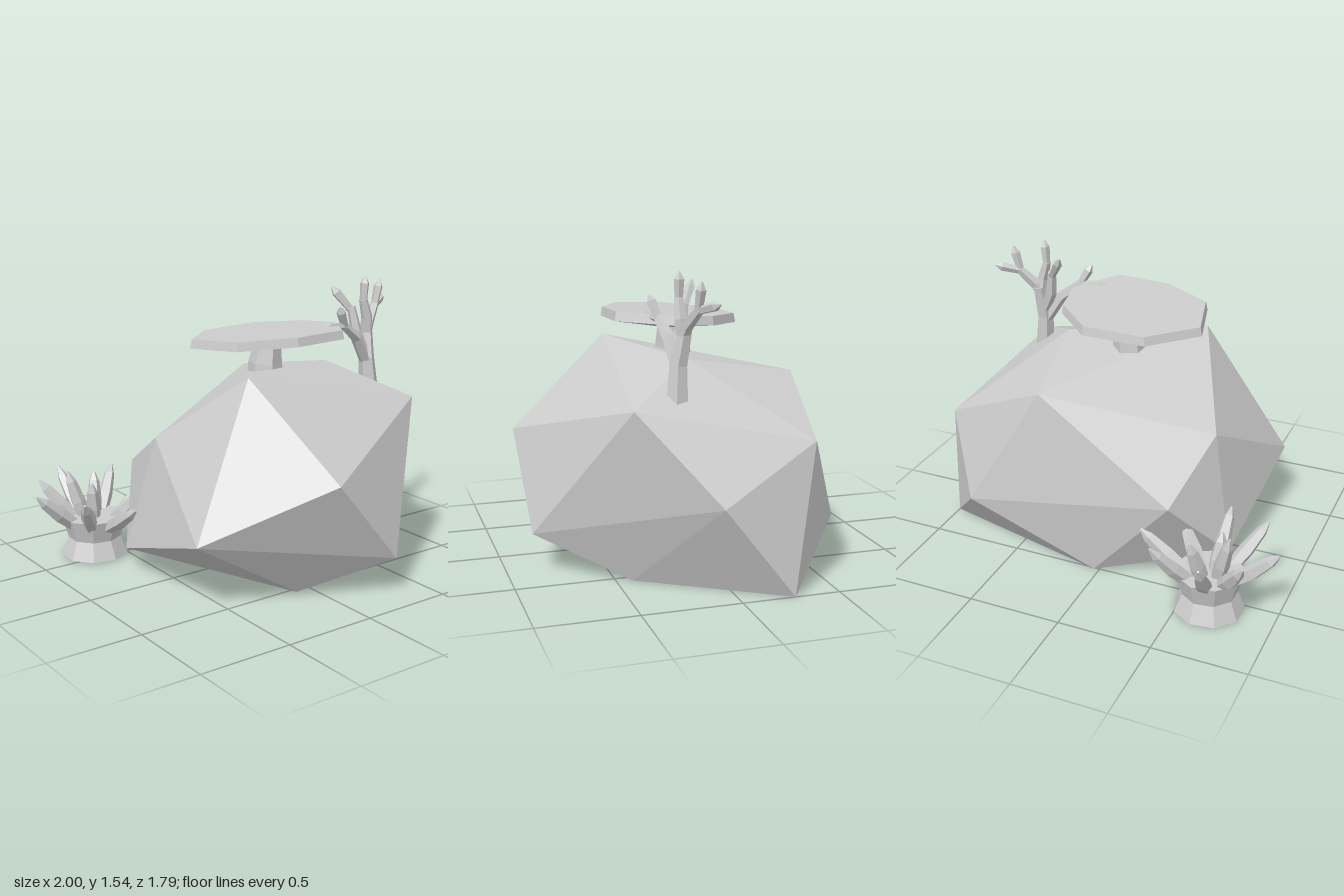
import * as THREE from 'three';
import { ConvexGeometry } from 'three/addons/geometries/ConvexGeometry.js';

const stone = new THREE.MeshStandardMaterial({ color: 0xcccccc });
stone.name = 'pale grey';
stone.flatShading = true;

const V = (p) => new THREE.Vector3(...p);

// Joins rings of points (counter-clockwise around the path) and caps both ends
function loft(rings) {
  const pos = [];
  const tri = (...ps) => ps.forEach((p) => pos.push(p.x, p.y, p.z));
  const middle = (r) => r.reduce((s, p) => s.add(p), V([0, 0, 0])).divideScalar(r.length);
  const n = rings[0].length;
  const first = rings[0], last = rings[rings.length - 1];
  const c0 = middle(first), c1 = middle(last);
  for (let i = 0; i < n; i++) {
    const j = (i + 1) % n;
    for (let k = 0; k + 1 < rings.length; k++) {
      const a = rings[k], b = rings[k + 1];
      tri(a[i], a[j], b[j]);
      tri(a[i], b[j], b[i]);
    }
    tri(c0, first[j], first[i]);
    tri(c1, last[i], last[j]);
  }
  const g = new THREE.BufferGeometry();
  g.setAttribute('position', new THREE.Float32BufferAttribute(pos, 3));
  g.computeVertexNormals();
  return g;
}

// Faceted limb through a few points, with one radius for each
function limb(points, radii, sides = 5) {
  const p = points.map(V);
  const rings = p.map((c, k) => {
    const t = p[Math.min(k + 1, p.length - 1)].clone().sub(p[Math.max(k - 1, 0)]).normalize();
    const u = V([0.31, 0.05, 0.95]).cross(t).normalize();
    const v = t.clone().cross(u);
    return Array.from({ length: sides }, (_, i) => {
      const a = (i / sides) * Math.PI * 2;
      return c.clone().addScaledVector(u, Math.cos(a) * radii[k]).addScaledVector(v, Math.sin(a) * radii[k]);
    });
  });
  return loft(rings);
}

function add(parent, name, geometry) {
  const mesh = new THREE.Mesh(geometry, stone);
  mesh.name = name;
  parent.add(mesh);
  return mesh;
}

function subgroup(parent, name) {
  const g = new THREE.Group();
  g.name = name;
  parent.add(g);
  return g;
}

export function createModel() {
  const model = new THREE.Group();
  model.name = 'coralBoulder';

  // Boulder: hull of a few corners
  add(model, 'boulder', new ConvexGeometry([
    [-0.27, 1.13, 0.36], [0.44, 1.09, 0.1], [0.76, 0.91, 0.46], [0.89, 0.74, -0.41],
    [1, 0.47, 0.09], [1, 0.005, -0.27], [-0.11, 0.67, 0.89], [0.29, 0.21, 0.87],
    [-0.7, 0.38, 0.53], [-0.64, 0.13, -0.25], [-0.11, 0.02, 0.56], [0.55, 0.005, 0.42],
    [0.33, 0.985, -0.5], [0.73, 0.31, -0.57], [-0.41, 0.51, -0.56], [-0.51, 0.75, -0.14],
    [0.03, 0.005, -0.51],
  ].map(V)));

  // Table coral: tilted irregular octagon on a short stem
  const table = subgroup(model, 'tableCoral');
  const outline = [[-0.29, 0.29], [-0.01, 0.43], [0.29, 0.43], [0.46, 0.17],
    [0.41, -0.05], [0.2, -0.24], [-0.14, -0.23], [-0.37, -0.01]];
  const [cx, cz] = [0.05, 0.09];
  const plateRing = (scale, drop) => outline.map(([x, z]) => {
    const px = cx + (x - cx) * scale, pz = cz + (z - cz) * scale;
    return V([px, 1.287 + 0.025 * px + 0.06 * pz - drop, pz]);
  });
  add(table, 'tablePlate', loft([plateRing(0.25, 0.085), plateRing(1, 0.047), plateRing(0.975, 0)]));
  add(table, 'tableStem', limb([[0.06, 1.02, 0.06], [0.06, 1.12, 0.06], [0.07, 1.23, 0.07]], [0.1, 0.09, 0.07], 6));

  // Branching coral
  const tree = subgroup(model, 'branchCoral');
  add(tree, 'trunk', limb([[0.66, 0.91, 0.22], [0.645, 1.1, 0.21], [0.66, 1.28, 0.18]], [0.055, 0.045, 0.036]));
  [
    [[0.64, 1.08, 0.21], [0.55, 1.22, 0.23], [0.43, 1.31, 0.25]],
    [[0.645, 1.14, 0.2], [0.59, 1.25, 0.18], [0.57, 1.38, 0.16]],
    [[0.655, 1.24, 0.19], [0.68, 1.29, 0.18], [0.76, 1.38, 0.14]],
    [[0.655, 1.24, 0.19], [0.65, 1.32, 0.2], [0.62, 1.42, 0.2]],
  ].forEach((path) => add(tree, 'branch', limb(path, [0.035, 0.032, 0.024])));
  // Budded tips: start, end
  [
    [[0.45, 1.3, 0.25], [0.285, 1.305, 0.27]],
    [[0.45, 1.29, 0.25], [0.385, 1.41, 0.28]],
    [[0.57, 1.36, 0.16], [0.485, 1.49, 0.09]],
    [[0.62, 1.4, 0.2], [0.63, 1.545, 0.2]],
    [[0.75, 1.36, 0.145], [0.79, 1.51, 0.14]],
    [[0.75, 1.37, 0.145], [0.87, 1.41, 0.075]],
  ].forEach(([a, b]) => {
    const at = (t) => a.map((v, i) => v + (b[i] - v) * t);
    add(tree, 'branchTip', limb([a, at(0.75), b], [0.02, 0.026, 0.004]));
  });

  // Anemone: flared foot with a crown of tentacles
  const anemone = subgroup(model, 'anemone');
  const [ax, az] = [-0.65, -0.58];
  add(anemone, 'anemoneFoot', limb([[ax, 0.01, az], [ax, 0.11, az], [ax, 0.23, az]], [0.185, 0.145, 0.18], 9));
  // Tentacle tips
  [
    [-1, 0.4, -0.57], [-0.88, 0.42, -0.78], [-0.7, 0.44, -0.9], [-0.41, 0.43, -0.8],
    [-0.27, 0.38, -0.58], [-0.45, 0.36, -0.42], [-0.62, 0.36, -0.17], [-0.86, 0.4, -0.29],
    [-0.77, 0.485, -0.65], [-0.58, 0.44, -0.7], [-0.69, 0.43, -0.52],
  ].forEach(([x, y, z]) => {
    const dx = x - ax, dz = z - az;
    const along = (t, h) => [ax + dx * t, h, az + dz * t];
    add(anemone, 'tentacle', limb(
      [along(0.3, 0.18), along(0.62, 0.19 + (y - 0.19) * 0.4), along(0.88, 0.19 + (y - 0.19) * 0.8), [x, y, z]],
      [0.035, 0.042, 0.03, 0.006]));
  });

  return model;
}
